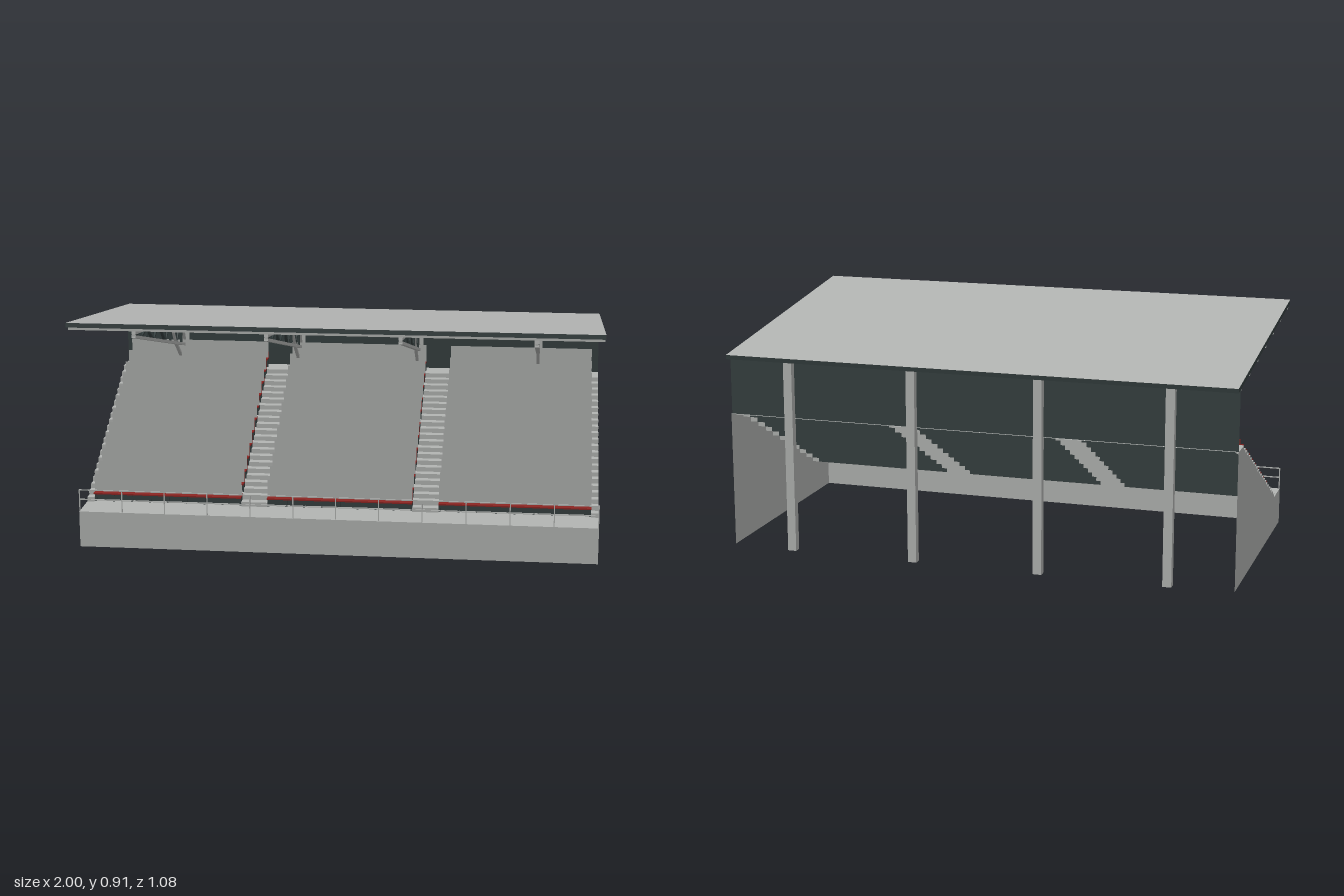
import * as THREE from 'three';

const mat = (name, color, side = THREE.FrontSide) => {
  const m = new THREE.MeshStandardMaterial({ color, side });
  m.name = name;
  return m;
};

export function createModel() {
  const concrete = mat('concrete grey', 0xb3b5b3, THREE.DoubleSide);
  const steel = mat('steel grey', 0xb3b5b3);
  const dark = mat('dark green grey', 0x364040, THREE.DoubleSide);
  const red = mat('seat red', 0x8c2522);
  const crowdGrey = mat('crowd grey', 0xafb1af);

  const root = new THREE.Group();
  root.name = 'grandstand';
  const group = (name, parent = root) => {
    const g = new THREE.Group();
    g.name = name;
    parent.add(g);
    return g;
  };
  const add = (parent, name, geo, material, x, y, z) => {
    const m = new THREE.Mesh(geo, material);
    m.name = name;
    m.position.set(x, y, z);
    parent.add(m);
    return m;
  };
  // Box given by its limits on each axis
  const box = (parent, name, material, x0, x1, y0, y1, z0, z1) =>
    add(parent, name, new THREE.BoxGeometry(x1 - x0, y1 - y0, z1 - z0), material,
      (x0 + x1) / 2, (y0 + y1) / 2, (z0 + z1) / 2);
  // Upright sheet facing +z
  const sheet = (parent, name, material, x0, x1, y0, y1, z) =>
    add(parent, name, new THREE.PlaneGeometry(x1 - x0, y1 - y0), material, (x0 + x1) / 2, (y0 + y1) / 2, z);
  // Straight bar in the plane x, from (z, y) to (z, y)
  const bar = (parent, name, material, x, [z0, y0], [z1, y1], width, thick) => {
    const m = add(parent, name, new THREE.BoxGeometry(width, thick, Math.hypot(z1 - z0, y1 - y0)),
      material, x, (y0 + y1) / 2, (z0 + z1) / 2);
    m.rotation.x = -Math.atan2(y1 - y0, z1 - z0);
    return m;
  };

  // Terrace dimensions
  const ROWS = 12, RISE = 0.0351, RUN = 0.0668;
  const FRONT = 0.435, BACK = -0.508;
  const level = i => 0.142 + RISE * i;
  const riserZ = i => 0.268 - RUN * (i - 1);
  const aisles = [[-1, -0.972], [-0.386, -0.284], [0.284, 0.386], [0.972, 1]];
  const blocks = [[-0.972, -0.386], [-0.284, 0.284], [0.386, 0.972]];

  // Hollow terrace shell: front wall, treads, risers, half steps
  const terrace = group('terrace');
  sheet(terrace, 'frontWall', concrete, -1, 1, 0, level(0), FRONT);
  for (let i = 0; i < ROWS; i++) {
    const z0 = i === 0 ? FRONT : riserZ(i);
    const z1 = i === ROWS - 1 ? BACK : riserZ(i + 1);
    const tread = add(terrace, 'tread', new THREE.PlaneGeometry(2, z0 - z1), concrete, 0, level(i), (z0 + z1) / 2);
    tread.rotation.x = -Math.PI / 2;
    if (i === 0) continue;
    for (const [a, b] of blocks) sheet(terrace, 'seatRiser', dark, a, b, level(i - 1), level(i), z0);
    for (const [a, b] of aisles) {
      sheet(terrace, 'aisleRiser', concrete, a, b, level(i - 1), level(i), z0);
      box(terrace, 'halfStep', steel, a, b, level(i - 1), level(i - 1) + RISE / 2, z0, z0 + RUN / 2);
    }
  }

  // Stepped side walls
  const profile = new THREE.Shape();
  profile.moveTo(-FRONT, 0);
  profile.lineTo(-FRONT, level(0));
  for (let i = 1; i < ROWS; i++) {
    profile.lineTo(-riserZ(i), level(i - 1));
    profile.lineTo(-riserZ(i), level(i));
  }
  profile.lineTo(-BACK, level(ROWS - 1));
  profile.lineTo(-BACK, 0);
  for (const x of [-1, 1]) {
    add(terrace, 'sideWall', new THREE.ShapeGeometry(profile), concrete, x, 0, 0).rotation.y = Math.PI / 2;
  }

  // Seat rows with legs, and the row of spectators as a flat sheet
  const seating = group('seating');
  for (let i = 0; i < ROWS; i++) {
    const y = level(i), z = 0.277 - RUN * i;
    for (const [a, b] of blocks) {
      box(seating, 'seat', red, a, b, y + 0.033, y + 0.038, z - 0.003, z + 0.034);
      box(seating, 'seatBack', red, a, b, y + 0.038, y + 0.073, z - 0.003, z + 0.002);
      sheet(seating, 'crowd', crowdGrey, a, b, y + 0.038, y + 0.108, z + 0.006);
      const n = 8;
      for (let k = 0; k <= n; k++) {
        const x = a + 0.004 + (b - a - 0.008) * k / n;
        box(seating, 'seatLeg', dark, x - 0.004, x + 0.004, y, y + 0.033, z + 0.008, z + 0.015);
      }
    }
  }

  // Front railing
  const railing = group('railing');
  for (let k = -6; k <= 6; k++) {
    const x = k === 0 ? 0 : k / 6 - Math.sign(k) * 0.002;
    box(railing, 'railPost', steel, x - 0.002, x + 0.002, level(0), 0.23, 0.428, 0.432);
  }
  for (const y of [0.19, 0.228]) box(railing, 'rail', steel, -1, 1, y - 0.002, y + 0.002, 0.428, 0.432);

  // Upper back wall
  sheet(root, 'backWall', dark, -1, 1, level(ROWS - 1), 0.76, -0.5);

  // Sloping roof: grey top and underside, dark edges
  const SLOPE = 0.131;
  const roofY = z => 0.822 + SLOPE * z; // underside
  const roof = group('roof');
  const slab = add(roof, 'roofSlab', new THREE.BoxGeometry(2, 0.017, 1.085),
    [dark, dark, steel, steel, dark, dark], 0, roofY(0) + 0.0085, 0);
  slab.rotation.x = -Math.atan(SLOPE);
  for (let k = 0; k < 7; k++) {
    const z = 0.5 - k * 0.163;
    box(roof, 'purlin', steel, -0.998, 0.998, roofY(z) - 0.011, roofY(z) + 0.003, z - 0.006, z + 0.006);
  }

  // Columns and cantilever trusses
  const topY = z => roofY(z) - 0.017;
  const botY = z => 0.73 + 0.25 * z;
  const node = k => 0.39 - 0.113 * k;
  for (const x of [-0.75, -0.25, 0.25, 0.75]) {
    const frame = group('roofFrame');
    box(frame, 'column', steel, x - 0.017, x + 0.017, 0, 0.754, -0.527, -0.498);
    bar(frame, 'topChord', steel, x, [0.503, topY(0.503)], [-0.5, topY(-0.5)], 0.016, 0.014);
    bar(frame, 'bottomChord', steel, x, [0.503, botY(0.503)], [-0.5, botY(-0.5)], 0.016, 0.011);
    bar(frame, 'endPost', steel, x, [0.5, botY(0.5)], [0.5, topY(0.5)], 0.012, 0.006);
    for (let k = 0; k < 8; k++) {
      const z = node(k), zn = k === 7 ? -0.498 : node(k + 1);
      bar(frame, 'webPost', dark, x, [z, botY(z)], [z, topY(z)], 0.01, 0.007);
      const down = k % 2 === 1;
      bar(frame, 'webDiagonal', k === 5 || k === 7 ? steel : dark, x,
        [z, down ? topY(z) : botY(z)], [zn, down ? botY(zn) : topY(zn)], 0.01, 0.008);
    }
    bar(frame, 'frontDiagonal', dark, x, [0.5, topY(0.5)], [node(0), botY(node(0))], 0.01, 0.006);
    bar(frame, 'strut', steel, x, [node(6), botY(node(6))], [-0.46, 0.535], 0.012, 0.01);
  }

  return root;
}
